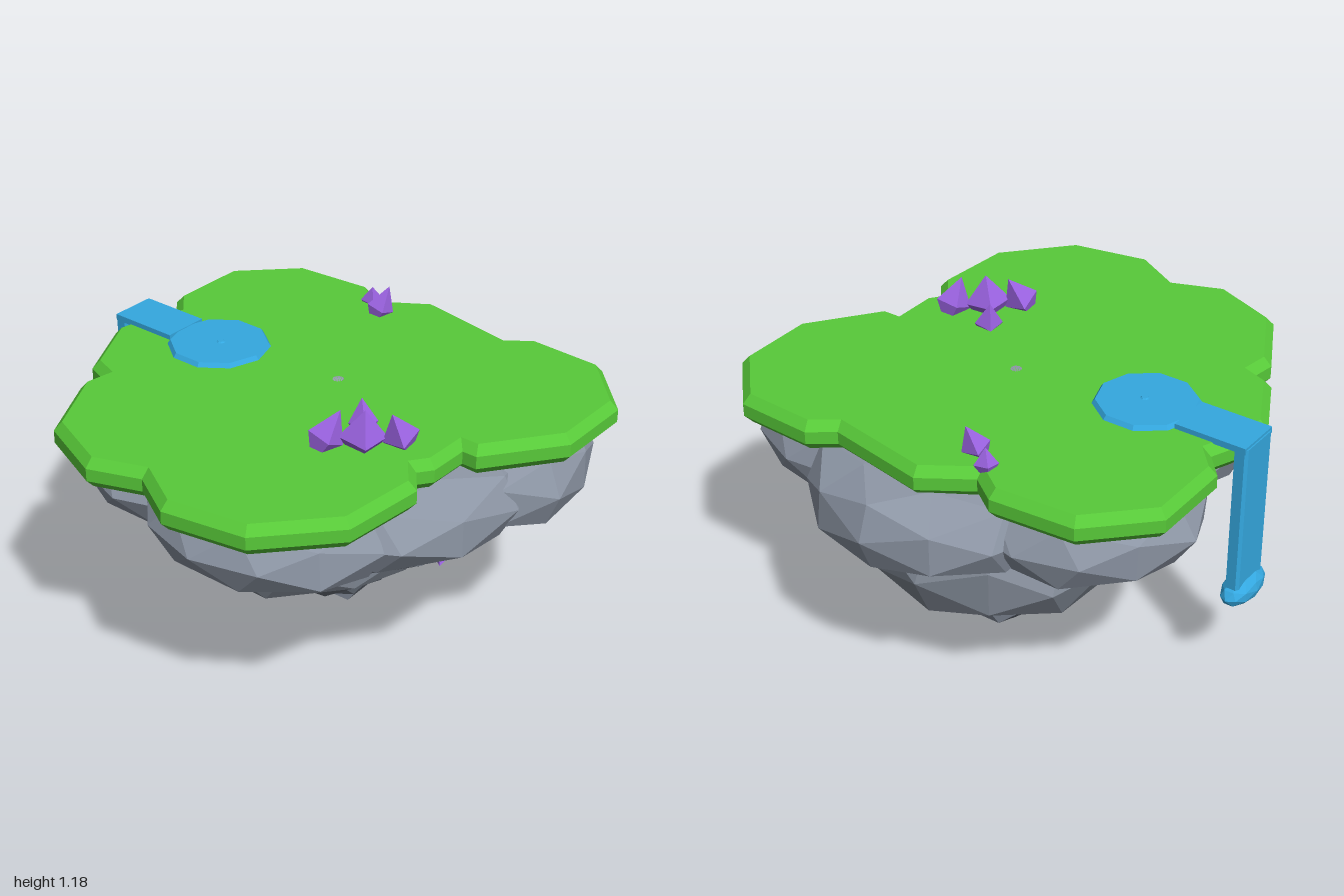
import * as THREE from 'three';

const mat = (name, color) => {
  const m = new THREE.MeshStandardMaterial({ color, flatShading: true });
  m.name = name;
  return m;
};

export function createModel() {
  const model = new THREE.Group();
  const grass = mat('grass green', 0x58ca39);
  const stone = mat('stone grey', 0x8d96a5);
  const midStone = mat('middle stone grey', 0x808894);
  const darkStone = mat('dark stone grey', 0x686f7b);
  const water = mat('water blue', 0x34a8e0);
  const violet = mat('crystal violet', 0x9a62e0);

  const add = (name, geo, material, x = 0, y = 0, z = 0) => {
    const m = new THREE.Mesh(geo, material);
    m.name = name;
    m.position.set(x, y, z);
    model.add(m);
    return m;
  };

  // Grass plate: lobed outline (x, z) with chamfered rims and a small funnel pit
  const outline = [
    [-0.425, -0.757], [-0.16, -0.895], [0, -0.865], [0.11, -0.82], [0.2, -0.9], [0.53, -0.9],
    [0.75, -0.68], [0.775, -0.345], [0.7, -0.24], [0.82, -0.055], [0.745, 0.35], [0.815, 0.445],
    [0.8, 0.757], [0.58, 0.965], [0.255, 0.97], [-0.03, 0.76], [-0.03, 0.7], [-0.195, 0.7],
    [-0.25, 0.66], [-0.345, 0.735], [-0.68, 0.71], [-0.94, 0.475], [-1, 0.147], [-0.89, -0.045],
    [-0.965, -0.245], [-0.85, -0.525], [-0.56, -0.68], [-0.46, -0.665],
  ];
  const shape = new THREE.Shape(outline.map(([x, z]) => new THREE.Vector2(x, -z)));
  const pit = [];
  for (let i = 0; i < 8; i++) {
    const a = (-i / 8) * Math.PI * 2;
    pit.push(new THREE.Vector2(0.06 + 0.01 * Math.cos(a), -0.06 + 0.01 * Math.sin(a)));
  }
  shape.holes.push(new THREE.Path(pit));
  const plate = new THREE.ExtrudeGeometry(shape, {
    depth: 0.05, bevelEnabled: true, bevelThickness: 0.035, bevelSize: 0.03, bevelOffset: -0.03, bevelSegments: 1,
  });
  plate.rotateX(-Math.PI / 2);
  add('grassTop', plate, grass, 0, 0.955, 0);

  // Boulders: faceted balls, turned, slightly irregular, flattened above and below
  const boulder = (name, material, [x, y, z], [rx, ry, rz], turn, seed) => {
    const g = new THREE.IcosahedronGeometry(1, 1);
    g.rotateY(turn);
    const p = g.attributes.position;
    for (let i = 0; i < p.count; i++) {
      const a = p.getX(i), b = p.getY(i), c = p.getZ(i);
      const k = 1 + 0.02 * Math.sin(a * 5 + b * 7 + c * 11 + seed * 3);
      const flat = Math.sign(b) * (Math.min(Math.abs(b), 0.6) + 0.15 * Math.max(Math.abs(b) - 0.6, 0));
      p.setXYZ(i, a * k * rx, flat * k * ry, c * k * rz);
    }
    g.computeVertexNormals();
    add(name, g, material, x, y, z);
  };
  [
    [[0.55, 0.78, 0.06], [0.45, 0.25, 0.5], Math.PI / 2],
    [[0.31, 0.79, 0.53], [0.45, 0.25, 0.44], -0.2],
    [[-0.03, 0.78, 0.4], [0.55, 0.24, 0.5], 0.2],
    [[-0.45, 0.78, 0.18], [0.47, 0.24, 0.5], 0],
    [[0.3, 0.78, -0.42], [0.46, 0.24, 0.46], 0],
    [[-0.3, 0.78, -0.3], [0.5, 0.24, 0.43], 0],
  ].forEach(([c, r, t], i) => boulder('upperRock', stone, c, r, t, i));
  [
    [[0.02, 0.51, -0.03], [0.59, 0.3, 0.55], 0],
    [[0.32, 0.52, -0.02], [0.47, 0.31, 0.52], Math.PI / 2],
    [[0.12, 0.57, 0.2], [0.58, 0.16, 0.48], 0.1],
  ].forEach(([c, r, t], i) => boulder('middleRock', midStone, c, r, t, i + 6));

  // Tapering spires from rings of [y, centre x, centre z, radius x, radius z]
  const spire = (name, rings, sides) => {
    const pos = [], idx = [];
    rings.forEach(([y, cx, cz, rx, rz], r) => {
      for (let i = 0; i < sides; i++) {
        const a = ((i + r / 2) / sides) * Math.PI * 2;
        pos.push(cx + rx * Math.cos(a), y, cz + rz * Math.sin(a));
      }
    });
    for (let r = 0; r < rings.length - 1; r++) {
      for (let i = 0; i < sides; i++) {
        const t = r * sides, b = t + sides, j = (i + 1) % sides;
        // strips between rings turned by half a step
        idx.push(t + i, t + j, b + i, t + j, b + j, b + i);
      }
    }
    const g = new THREE.BufferGeometry();
    g.setAttribute('position', new THREE.Float32BufferAttribute(pos, 3));
    g.setIndex(idx);
    g.computeVertexNormals();
    add(name, g, darkStone);
  };
  spire('lowerRock', [
    [0.42, 0.09, -0.03, 0.36, 0.33], [0.34, 0.09, -0.03, 0.46, 0.34],
    [0.25, 0.1, 0.0, 0.33, 0.31], [0.13, 0.17, 0, 0.27, 0.2], [0.04, 0.13, 0.04, 0, 0],
  ], 6);
  spire('rockTip', [
    [0.2, 0.19, -0.01, 0.1, 0.1], [0.11, 0.19, -0.01, 0.16, 0.15],
    [0.025, 0.19, 0.02, 0.1, 0.075], [0, 0.12, 0.07, 0, 0],
  ], 6);

  // Crystals: stretched octahedra pointing from a centre to a tip
  const up = new THREE.Vector3(0, 1, 0);
  const crystal = (c, tip, r) => {
    const dir = new THREE.Vector3(...tip).sub(new THREE.Vector3(...c));
    const g = new THREE.OctahedronGeometry(1, 0);
    g.rotateY(Math.PI / 4);
    g.scale(r, dir.length(), r);
    add('crystal', g, violet, ...c).quaternion.setFromUnitVectors(up, dir.normalize());
  };
  crystal([-0.26, 1.07, 0.43], [-0.26, 1.18, 0.44], 0.09);
  crystal([-0.35, 1.07, 0.335], [-0.3, 1.17, 0.36], 0.07);
  crystal([-0.17, 1.07, 0.53], [-0.21, 1.17, 0.52], 0.07);
  crystal([-0.15, 1.05, 0.345], [-0.14, 1.14, 0.33], 0.055);
  crystal([0.6, 1.06, -0.16], [0.63, 1.15, -0.14], 0.055);
  crystal([0.66, 1.05, -0.25], [0.65, 1.11, -0.24], 0.045);
  crystal([-0.01, 0.56, 0.62], [-0.07, 0.515, 0.65], 0.065);
  crystal([0.67, 0.45, -0.08], [0.72, 0.44, -0.08], 0.03);

  // Pool, channel, waterfall and splash
  const wx = -0.018;
  add('pool', new THREE.CylinderGeometry(0.19, 0.205, 0.022, 10), water, wx, 1.046, -0.47);
  add('poolKnob', new THREE.CylinderGeometry(0.012, 0.018, 0.005, 8), water, wx, 1.059, -0.46);
  add('channel', new THREE.BoxGeometry(0.185, 0.025, 0.29), water, wx, 1.0475, -0.79);
  const fall = new THREE.Shape();
  fall.moveTo(-0.0925, -0.02).lineTo(-0.0775, -0.028).lineTo(0.0775, -0.028).lineTo(0.0925, -0.02);
  fall.lineTo(0.0925, 0.02).lineTo(0.0775, 0.028).lineTo(-0.0775, 0.028).lineTo(-0.0925, 0.02);
  const fallGeo = new THREE.ExtrudeGeometry(fall, { depth: 0.65, bevelEnabled: false });
  fallGeo.rotateX(-Math.PI / 2);
  add('waterfall', fallGeo, water, wx, 0.4, -0.912);
  const splash = new THREE.IcosahedronGeometry(1, 1);
  splash.scale(0.127, 0.06, 0.063);
  add('splash', splash, water, wx, 0.41, -0.913);

  return model;
}
